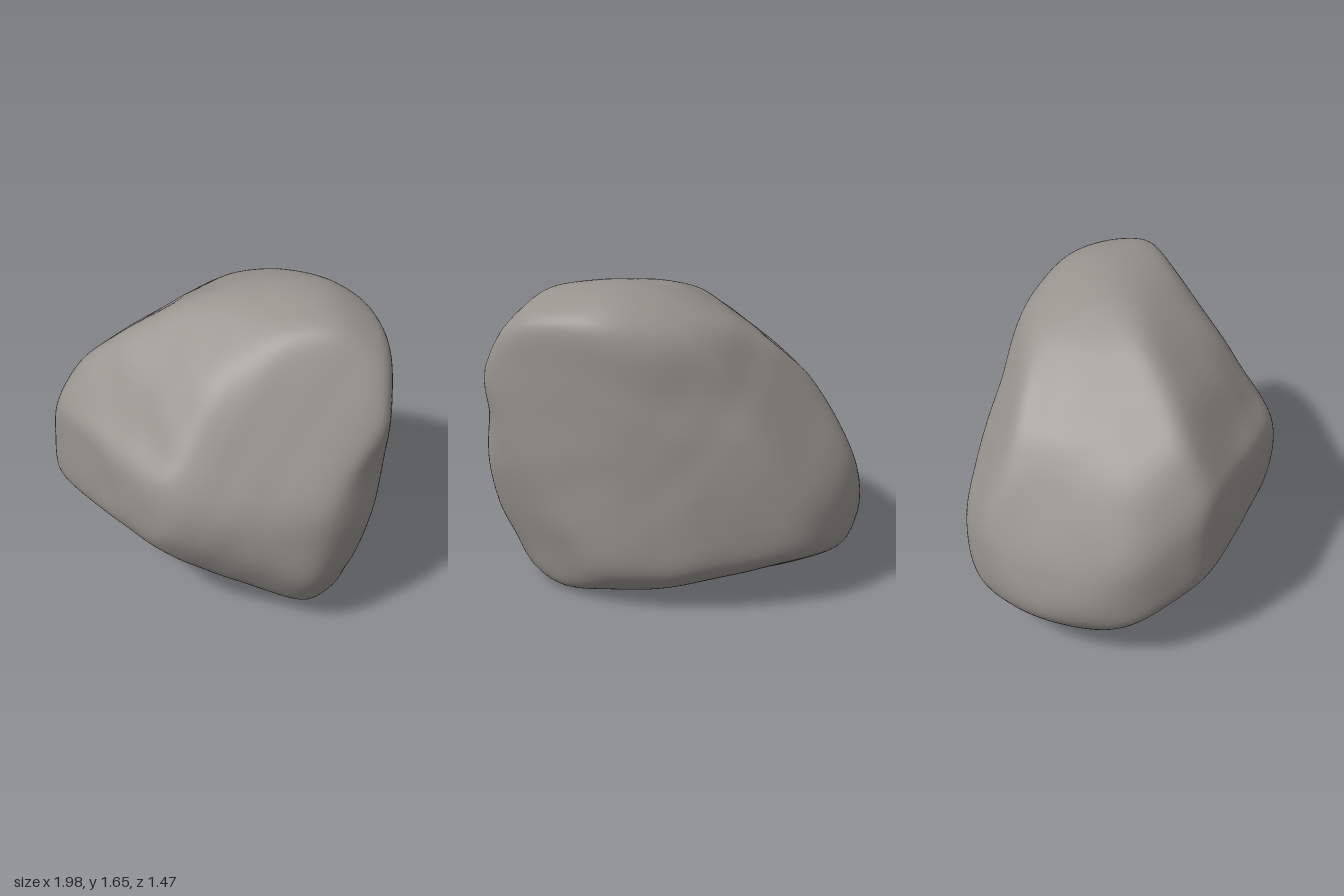
import * as THREE from 'three';
import { mergeVertices } from 'three/addons/utils/BufferGeometryUtils.js';

const CENTRE_Y = 0.83;
const SHARPNESS = 30; // higher gives tighter edges between faces
const SWELL = 1.018;  // makes up for what the edge rounding takes away

// Closed smooth outline from a flat list of pairs, shifted to the boulder's middle
function outline(pairs, shift) {
  const points = [];
  for (let i = 0; i < pairs.length; i += 2) {
    points.push(new THREE.Vector3(pairs[i], pairs[i + 1] - shift, 0));
  }
  return new THREE.CatmullRomCurve3(points, true, 'centripetal').getPoints(110);
}

// Distance along the direction (a, b) at which it crosses the outline
function reach(line, a, b) {
  if (Math.hypot(a, b) < 1e-5) return Infinity;
  for (let i = 0; i < line.length - 1; i++) {
    const p = line[i], q = line[i + 1];
    const cp = a * p.y - b * p.x, cq = a * q.y - b * q.x;
    if (cp * cq > 0 || cp === cq) continue;
    const t = (p.x * q.y - p.y * q.x) / (cq - cp);
    if (t > 0) return t;
  }
  return Infinity;
}

// Outlines across (x, y), (z, y) and (x, z)
const frontLine = outline([
  -1.005, 0.35, -0.95, 0.25, -0.85, 0.17, -0.6, 0.11, -0.2, 0.09, 0.2, 0.03, 0.5, 0,
  0.65, 0.025, 0.77, 0.1, 0.85, 0.25, 0.93, 0.42, 0.975, 0.65, 0.96, 0.95, 1, 1.2,
  0.96, 1.32, 0.87, 1.45, 0.7, 1.59, 0.4, 1.66, 0.2, 1.64, 0, 1.59, -0.2, 1.5,
  -0.4, 1.37, -0.6, 1.2, -0.7, 1.05, -0.85, 0.78, -0.95, 0.56], CENTRE_Y);
const sideLine = outline([
  0.74, 0.65, 0.72, 0.87, 0.6, 1.03, 0.4, 1.31, 0.2, 1.48, 0, 1.59, -0.28, 1.66,
  -0.45, 1.62, -0.55, 1.53, -0.6, 1.4, -0.63, 1.15, -0.68, 0.9, -0.735, 0.4, -0.7, 0.25,
  -0.62, 0.14, -0.4, 0.06, -0.15, 0, 0, 0.03, 0.2, 0.12, 0.6, 0.36, 0.7, 0.5], CENTRE_Y);
const topLine = outline([
  -1.005, -0.05, -0.97, -0.25, -0.85, -0.48, -0.7, -0.62, -0.5, -0.71, -0.25, -0.74, 0, -0.72,
  0.2, -0.66, 0.5, -0.54, 0.8, -0.35, 0.95, -0.2, 1.01, -0.11, 0.97, 0.1, 0.9, 0.25,
  0.7, 0.44, 0.4, 0.69, 0.25, 0.73, -0.2, 0.685, -0.6, 0.62, -0.75, 0.5, -0.9, 0.3], 0);

// Slanted faces that cut the corners: normal and distance from the middle
const facets = [
  [0.593, 0.454, 0.666, 0.685],   // front right shoulder
  [0.283, 0.654, 0.702, 0.685],   // upper front, turning right
  [-0.066, 0.765, 0.642, 0.65],   // upper front slope
  [-0.425, 0.468, 0.777, 0.795],  // front left shoulder
  [-0.777, 0.468, 0.425, 0.785],  // left shoulder
  [-0.642, 0.765, 0.066, 0.65],   // upper left slope
  [-0.332, 0.883, -0.332, 0.775], // top, falling to the back left
  [0.332, 0.883, -0.332, 0.98],   // top, falling to the back right
  [0.259, 0.627, -0.731, 0.985],  // upper back right
  [-0.158, 0.706, -0.69, 0.845],  // upper back
  [-0.466, 0.415, -0.778, 0.715], // upper back left
  [0.772, -0.247, -0.586, 0.85],  // lower back right
  [0.259, -0.627, -0.731, 0.905], // back heel
  [-0.144, -0.855, -0.498, 0.87], // underside, back
  [-0.466, -0.865, -0.184, 0.99], // underside, left
  [-0.766, -0.53, -0.366, 1.12],  // lower back left
  [-0.731, -0.627, 0.259, 1.075], // lower left toe
  [-0.311, -0.583, 0.749, 0.91],  // lower front left
  [-0.072, -0.83, 0.552, 0.7],    // underside, front
  [0.425, -0.468, 0.777, 0.81],   // lower front right
];

// Gentle weathering
function weathering(d) {
  return 0.004 * Math.sin(7 * d.x + 5 * d.y + 1) * Math.sin(8 * d.z - 4 * d.y)
    + 0.002 * Math.sin(15 * d.x - 9 * d.z) * Math.sin(13 * d.y + 6 * d.z + 2);
}

// Soft minimum of all limits, so that neighbouring faces meet in rounded edges
function radius(d) {
  const limits = [
    reach(frontLine, d.x, d.y), reach(sideLine, d.z, d.y), reach(topLine, d.x, d.z)];
  for (const [x, y, z, h] of facets) {
    const slope = d.x * x + d.y * y + d.z * z;
    if (slope > 0.01) limits.push(h / slope);
  }
  const sum = limits.reduce((s, t) => s + Math.pow(t, -SHARPNESS), 0);
  return SWELL * Math.pow(sum, -1 / SHARPNESS) * (1 + weathering(d));
}

export function createModel() {
  let geometry = new THREE.IcosahedronGeometry(1, 44);
  geometry.deleteAttribute('normal');
  geometry.deleteAttribute('uv');
  geometry = mergeVertices(geometry, 1e-5);

  const position = geometry.attributes.position;
  const d = new THREE.Vector3();
  for (let i = 0; i < position.count; i++) {
    d.fromBufferAttribute(position, i).normalize();
    d.multiplyScalar(radius(d));
    position.setXYZ(i, d.x, d.y + CENTRE_Y, d.z);
  }
  geometry.computeVertexNormals();

  const boulder = new THREE.Mesh(
    geometry, new THREE.MeshStandardMaterial({ color: 0x97938d }));
  boulder.name = 'boulder';
  const group = new THREE.Group();
  group.name = 'rock';
  group.add(boulder);
  return group;
}
